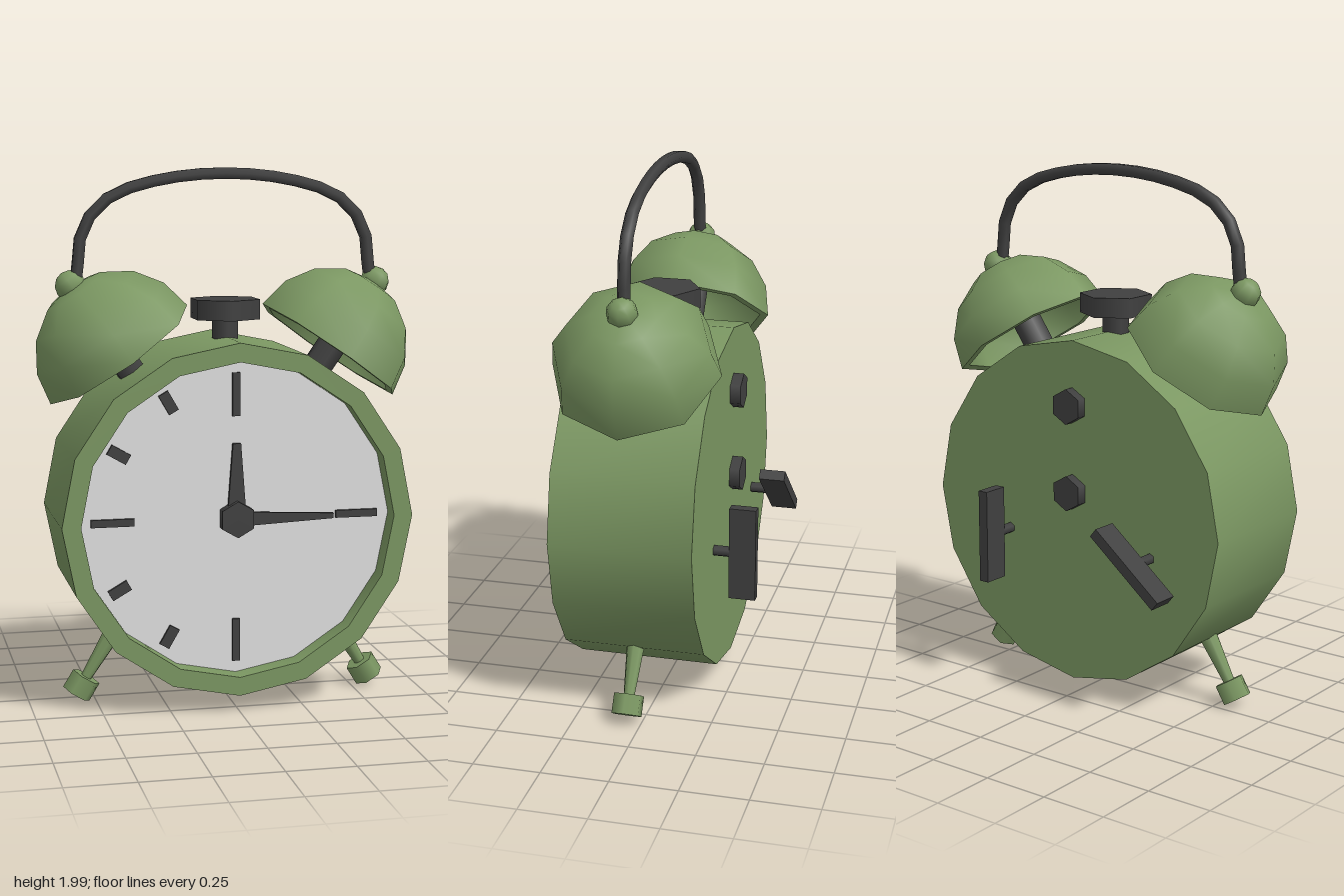
import * as THREE from 'three';
import { toCreasedNormals } from 'three/addons/utils/BufferGeometryUtils.js';

const CY = 0.72;   // height of the dial centre
const MID = 0.055; // depth of the clock's middle plane
const BACK = -0.21, FRONT = 0.32, DIAL = 0.24;

export function createModel() {
  const model = new THREE.Group();
  const mat = (name, color) => {
    const m = new THREE.MeshStandardMaterial({ color });
    m.name = name;
    return m;
  };
  const green = mat('green paint', 0x7b9762);
  const dark = mat('dark metal', 0x404040);
  const white = mat('dial grey', 0xe0e0e0);

  const add = (name, geo, material, x = 0, y = 0, z = 0, rotZ = 0, parent = model) => {
    const mesh = new THREE.Mesh(geo, material);
    mesh.name = name;
    mesh.position.set(x, y, z);
    mesh.rotation.z = rotZ;
    parent.add(mesh);
    return mesh;
  };
  // Lathe with sharp edges only where the profile turns strongly
  const lathe = (pts, sides, crease) => toCreasedNormals(
    new THREE.LatheGeometry(pts.map(p => new THREE.Vector2(p[0], p[1])), sides), crease);
  // Six-sided rod along z
  const rodZ = (name, r, x, y, z0, z1) => add(name,
    new THREE.CylinderGeometry(r, r, Math.abs(z1 - z0), 6).rotateX(Math.PI / 2),
    dark, x, y, (z0 + z1) / 2);

  // Case with raised bezel
  const R = 0.655, r = 0.585;
  add('case', lathe([[0, BACK], [R, BACK], [R, FRONT], [r, FRONT], [r, DIAL - 0.01]], 16, 0.6)
    .rotateX(Math.PI / 2), green, 0, CY, 0);
  add('dial', new THREE.CircleGeometry(r, 16), white, 0, CY, DIAL);

  // Hour marks: long at the quarters, short ones on one side
  for (let h = 0; h < 12; h++) {
    const quarter = h % 3 === 0;
    if (!quarter && h < 6) continue;
    const a = h * Math.PI / 6, d = quarter ? 0.46 : 0.503;
    add('hourMark', new THREE.BoxGeometry(quarter ? 0.028 : 0.04, quarter ? 0.16 : 0.08, 0.012), dark,
      d * Math.sin(a), CY + d * Math.cos(a), DIAL + 0.006, -a);
  }

  // Tapered hands and hub
  const hand = (name, length, w0, w1, z, rot) => {
    const s = new THREE.Shape([
      new THREE.Vector2(-w0, 0), new THREE.Vector2(w0, 0),
      new THREE.Vector2(w1, length), new THREE.Vector2(-w1, length)]);
    add(name, new THREE.ExtrudeGeometry(s, { depth: 0.015, bevelEnabled: false }), dark, 0, CY, z, rot);
  };
  hand('hourHand', 0.28, 0.036, 0.015, DIAL + 0.008, 0);
  hand('minuteHand', 0.365, 0.027, 0.01, DIAL + 0.02, -Math.PI / 2);
  rodZ('handHub', 0.068, 0, CY, DIAL, DIAL + 0.045);

  // Bell profile: outer dome and slightly smaller inner dome
  const bellR = 0.312, inR = 0.28, bellPts = [];
  for (let i = 4; i >= 0; i--) {
    const t = i * Math.PI / 8;
    bellPts.push([inR * Math.cos(t), inR * Math.sin(t)]);
  }
  for (let i = 0; i <= 4; i++) {
    const t = i * Math.PI / 8;
    bellPts.push([bellR * Math.cos(t), bellR * Math.sin(t)]);
  }
  bellPts[0][0] = bellPts[9][0] = 0;
  const bellGeo = lathe(bellPts, 8, 0.9);

  for (const s of [1, -1]) {
    const side = s > 0 ? 'left' : 'right';

    // Bell with striker post and top knob, tilted outwards
    const bell = new THREE.Group();
    bell.name = side + 'Bell';
    bell.position.set(s * 0.4, 1.315, MID);
    bell.rotation.z = -s * 0.608;
    model.add(bell);
    add('bellDome', bellGeo, green, 0, 0, 0, 0, bell);
    add('bellPost', new THREE.CylinderGeometry(0.057, 0.057, 0.46, 6), dark, 0, 0.05, 0, 0, bell);
    add('bellKnob', new THREE.SphereGeometry(0.057, 8, 6), green, 0, 0.312, 0, 0, bell);

    // Splayed leg with foot
    const leg = new THREE.Group();
    leg.name = side + 'Leg';
    leg.position.set(s * 0.574, 0.034, MID);
    leg.rotation.z = s * 0.55;
    model.add(leg);
    add('foot', new THREE.CylinderGeometry(0.058, 0.058, 0.075, 6).rotateY(Math.PI / 6),
      green, 0, 0.0365, 0, 0, leg).rotation.y = Math.PI / 3;
    add('legShaft', new THREE.CylinderGeometry(0.04, 0.02, 0.28, 8), green, 0, 0.2, 0, 0, leg);
  }

  // Carrying handle
  const half = [[0.562, 1.56], [0.552, 1.63], [0.54, 1.746], [0.492, 1.84], [0.407, 1.905], [0.228, 1.957]];
  const path = [...half.map(([x, y]) => [-x, y]), [0, 1.977], ...half.slice().reverse()]
    .map(([x, y]) => new THREE.Vector3(x, y, MID));
  add('handle', new THREE.TubeGeometry(new THREE.CatmullRomCurve3(path), 18, 0.024, 6), dark);

  // Alarm button on top
  add('buttonStem', new THREE.CylinderGeometry(0.05, 0.05, 0.14, 6), dark, 0, 1.39, MID);
  add('buttonCap', new THREE.CylinderGeometry(0.136, 0.136, 0.074, 6), dark, 0, 1.478, MID);

  // Setting knobs on the back
  for (const y of [0.802, 1.132]) rodZ('backKnob', 0.067, 0, y, BACK + 0.01, -0.25);

  // Winding keys on the back
  for (const [x, rot] of [[0.305, 0], [-0.357, -0.89]]) {
    rodZ('keyStem', 0.021, x, 0.608, BACK + 0.01, -0.28);
    add('keyPlate', new THREE.BoxGeometry(0.04, 0.355, 0.1), dark, x, 0.608, -0.32, rot);
  }
  return model;
}
